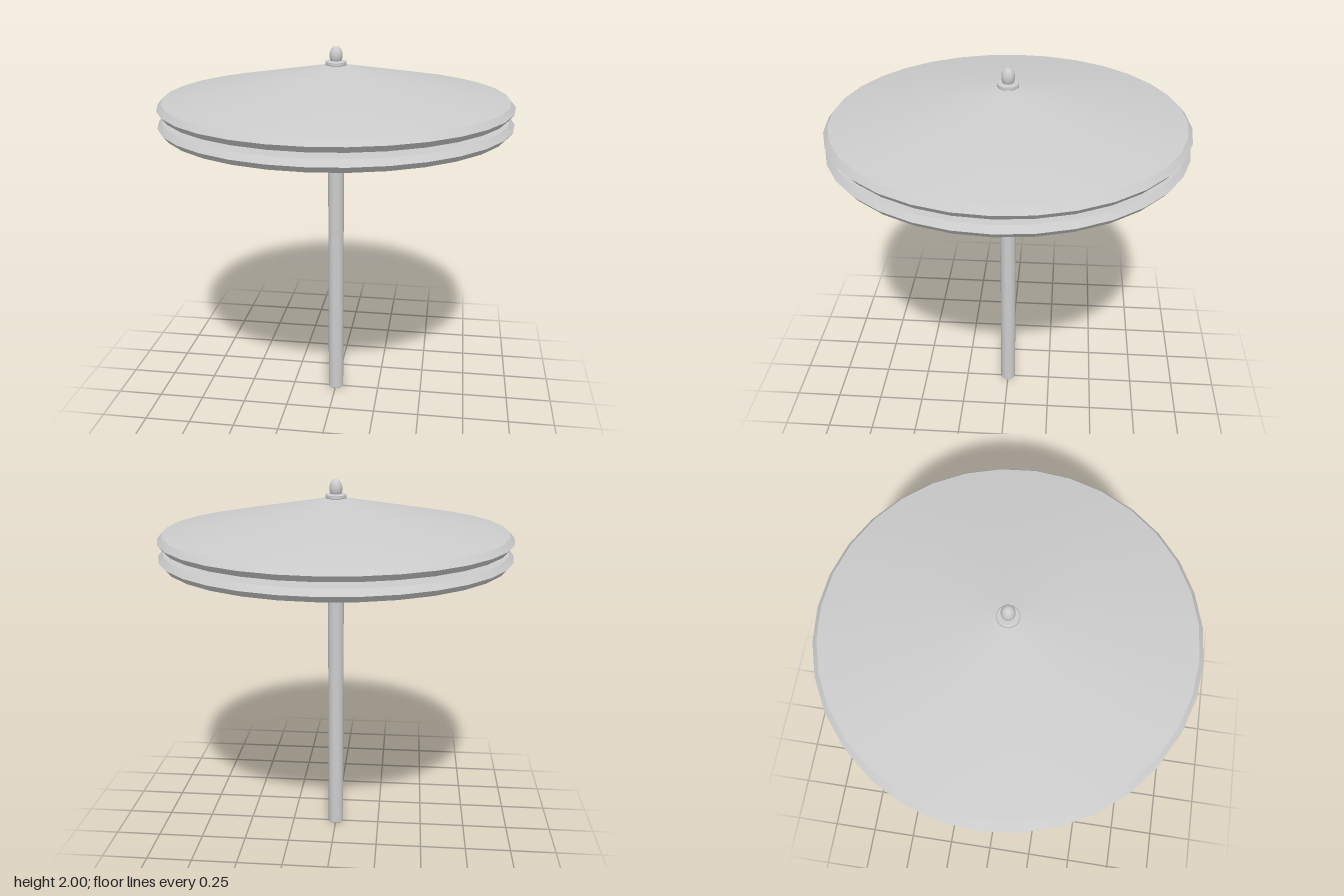
import * as THREE from 'three';
import { toCreasedNormals } from 'three/addons/utils/BufferGeometryUtils.js';

const material = new THREE.MeshStandardMaterial({ color: 0xcccccc });

// Solid of revolution; profile runs bottom to top as [radius, y]
function turned(name, profile, sides = 32, crease = 0.4) {
  const points = profile.map(([r, y]) => new THREE.Vector2(r, y));
  const geometry = toCreasedNormals(new THREE.LatheGeometry(points, sides), crease);
  const mesh = new THREE.Mesh(geometry, material);
  mesh.name = name;
  return mesh;
}

export function createModel() {
  const group = new THREE.Group();
  group.name = 'cymbalStand';

  // Pole with a small bevel at the foot, passing through both cymbals
  group.add(turned('pole', [[0, 0], [0.038, 0], [0.043, 0.006], [0.043, 1.9], [0, 1.9]]));

  // Facing pair of shallow conical cymbals with bevelled rims
  group.add(turned('lowerCymbal', [
    [0, 1.431], [0.055, 1.431], [0.905, 1.587], [0.93, 1.617], [0.905, 1.648], [0, 1.648],
  ], 32, 0.25));
  group.add(turned('upperCymbal', [
    [0, 1.676], [0.905, 1.676], [0.93, 1.707], [0.905, 1.738], [0.055, 1.902], [0, 1.902],
  ], 32, 0.25));

  // Washers below and above the cymbals
  group.add(turned('lowerWasher', [
    [0, 1.412], [0.06, 1.412], [0.066, 1.418], [0.066, 1.436], [0, 1.436],
  ]));
  group.add(turned('upperWasher', [
    [0, 1.898], [0.048, 1.898], [0.055, 1.905], [0.055, 1.919], [0.05, 1.925], [0, 1.925],
  ]));

  // Rounded finial
  const finial = new THREE.Mesh(new THREE.SphereGeometry(0.034, 24, 16), material);
  finial.name = 'finial';
  finial.scale.y = 1.4;
  finial.position.y = 2 - 0.034 * 1.4;
  group.add(finial);

  return group;
}
